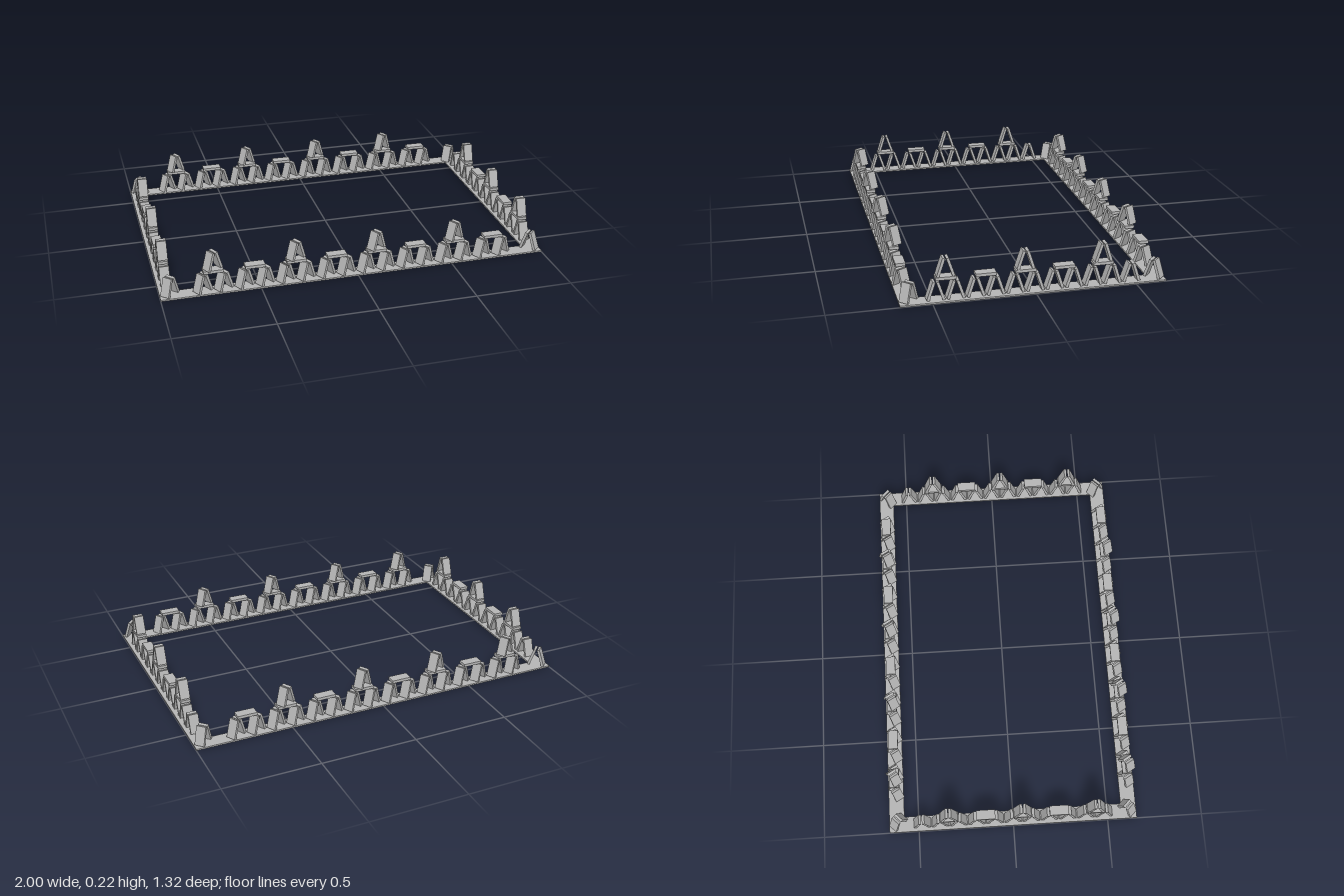
import * as THREE from 'three';

const BASE_H = 0.008;    // frame thickness
const TENT_H = 0.096;    // height of one pair of leaning cards
const LEAN = 0.315;      // card tilt
const THICK = 0.014;
const WIDTH = 0.05;
const CARD_L = (TENT_H - THICK * Math.sin(LEAN)) / Math.cos(LEAN);
const PLATE_Y = 0.1175;
const UPPER_Y = 0.125;

export function createModel() {
  const model = new THREE.Group();
  model.name = 'cardHouseBorder';
  const grey = new THREE.MeshStandardMaterial({ color: 0xb4b4b4 });
  grey.name = 'grey';

  const cardGeo = new THREE.BoxGeometry(THICK, CARD_L, WIDTH);
  const plateGeo = new THREE.BoxGeometry(0.1, 0.015, WIDTH);

  // Two cards leaning against each other
  function tent(parent, name, x, y, z, turn) {
    const g = new THREE.Group();
    g.name = name;
    for (const s of [-1, 1]) {
      const card = new THREE.Mesh(cardGeo, grey);
      card.name = 'leaningCard';
      card.position.set(s * 0.0236, TENT_H / 2, 0);
      card.rotation.z = s * LEAN;
      g.add(card);
    }
    g.position.set(x, y, z);
    g.rotation.y = turn;
    parent.add(g);
  }

  // A row along local x: tents, a flat card over each pair, a second tent on every other one
  function row(name, tents, start, step, turn) {
    const g = new THREE.Group();
    g.name = name;
    for (let i = 0; i < tents; i++) {
      tent(g, 'lowerTent', start + i * step, BASE_H, 0, turn);
      if (i % 2 === 0 && i + 1 < tents) {
        const x = start + (i + 0.5) * step;
        const plate = new THREE.Mesh(plateGeo, grey);
        plate.name = 'flatCard';
        plate.position.set(x, PLATE_Y, 0);
        g.add(plate);
        if (i % 4 === 0) tent(g, 'upperTent', x, UPPER_Y, 0, turn);
      }
    }
    model.add(g);
    return g;
  }

  // Thin rectangular frame on the ground
  const outline = new THREE.Shape([[-1, -0.655], [1, -0.655], [1, 0.655], [-1, 0.655]]
    .map(([x, y]) => new THREE.Vector2(x, y)));
  outline.holes.push(new THREE.Path([[-0.92, -0.575], [-0.92, 0.575], [0.92, 0.575], [0.92, -0.575]]
    .map(([x, y]) => new THREE.Vector2(x, y))));
  const frameGeo = new THREE.ExtrudeGeometry(outline, { depth: BASE_H, bevelEnabled: false });
  frameGeo.rotateX(-Math.PI / 2);
  const frame = new THREE.Mesh(frameGeo, grey);
  frame.name = 'baseFrame';
  model.add(frame);

  // Long rows, their tents turned on the spot; short rows run from front to back
  for (const s of [-1, 1]) {
    row(s > 0 ? 'frontRow' : 'backRow', 16, -0.786, 0.1045, Math.PI / 6).position.z = s * 0.614;
    const side = row(s > 0 ? 'leftRow' : 'rightRow', 11, -0.481, 0.0962, 0);
    side.rotation.y = Math.PI / 2;
    side.position.x = s * 0.958;
  }

  // Corner tents facing the centre
  for (const sx of [-1, 1]) {
    for (const sz of [-1, 1]) {
      tent(model, 'cornerTent', sx * 0.948, BASE_H, sz * 0.606, -sx * sz * Math.PI / 4);
    }
  }
  return model;
}
